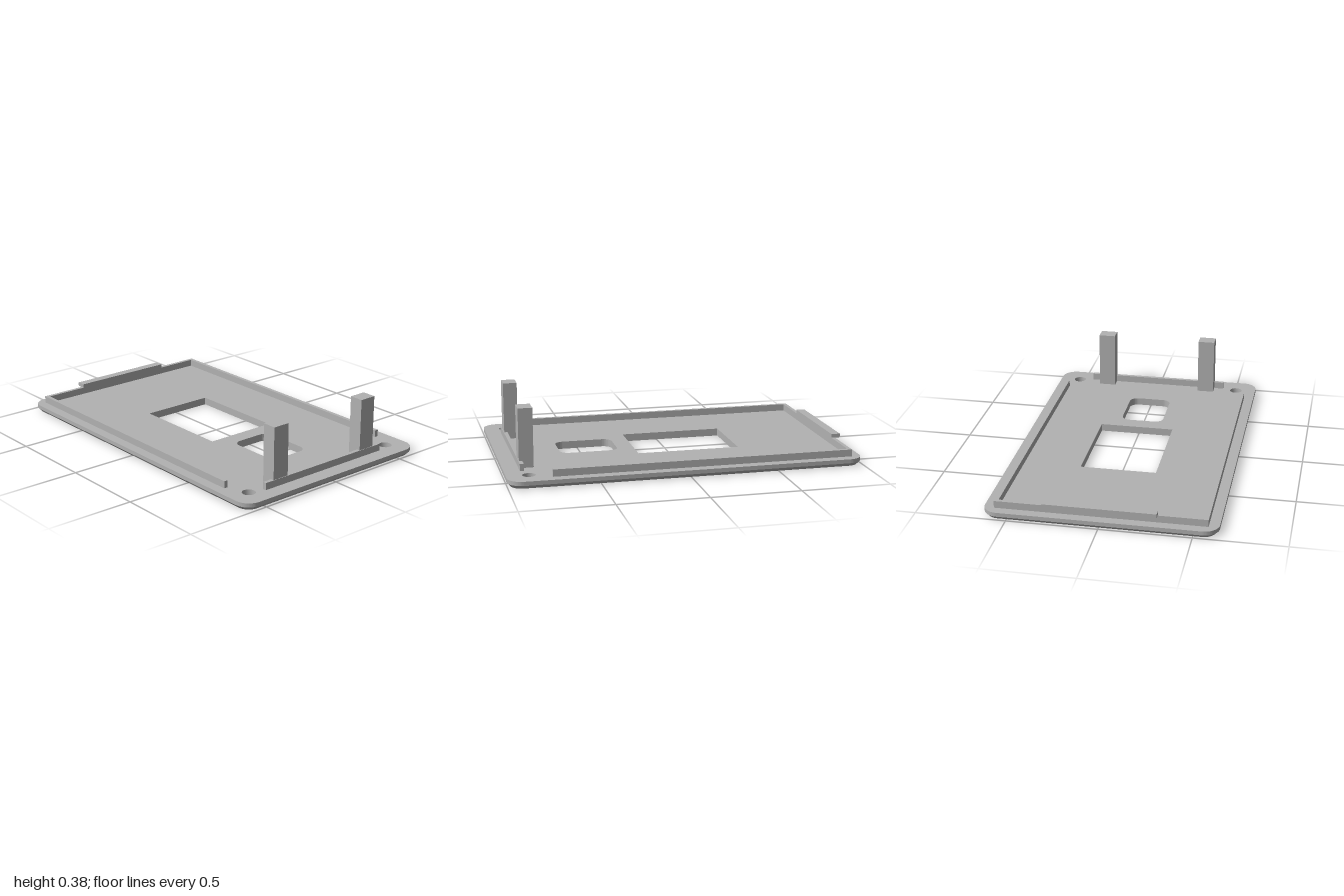
import * as THREE from 'three';
import { toCreasedNormals } from 'three/addons/utils/BufferGeometryUtils.js';

const W = 1, D = 0.634, R = 0.085;      // plate half width, half depth, corner radius
const TOP = 0.043, CHAMFER = 0.02;      // plate thickness, bottom edge chamfer
const RIM = 0.083;                      // top of the locating rims

// Rounded rectangle traced counter-clockwise
function roundedRect(path, x0, y0, x1, y1, r) {
  path.absarc(x1 - r, y0 + r, r, -Math.PI / 2, 0);
  path.absarc(x1 - r, y1 - r, r, 0, Math.PI / 2);
  path.absarc(x0 + r, y1 - r, r, Math.PI / 2, Math.PI);
  path.absarc(x0 + r, y0 + r, r, Math.PI, Math.PI * 1.5);
  path.closePath();
  return path;
}

function plateGeometry() {
  const shape = roundedRect(new THREE.Shape(), -W, -D, W, D, R);

  // Rectangular window, rounded window and two screw holes
  const screen = new THREE.Path();
  screen.moveTo(-0.38, -0.204);
  screen.lineTo(0.209, -0.204);
  screen.lineTo(0.209, 0.229);
  screen.lineTo(-0.38, 0.229);
  screen.closePath();
  shape.holes.push(screen, roundedRect(new THREE.Path(), 0.303, -0.125, 0.637, 0.126, 0.05));
  for (const s of [-1, 1]) {
    shape.holes.push(new THREE.Path().absarc(0.875, s * 0.512, 0.037, 0, Math.PI * 2));
  }

  const geo = new THREE.ExtrudeGeometry(shape, { depth: TOP, steps: 2, bevelEnabled: false, curveSegments: 10 });

  // Pull the bottom outline inward to chamfer the outer edge only
  const p = geo.attributes.position;
  for (let i = 0; i < p.count; i++) {
    const x = p.getX(i), y = p.getY(i), z = p.getZ(i);
    if (z > 0.001 && z < TOP - 0.001) p.setZ(i, CHAMFER);
    if (z > 0.001) continue;
    const cx = THREE.MathUtils.clamp(x, R - W, W - R);
    const cy = THREE.MathUtils.clamp(y, R - D, D - R);
    if (Math.hypot(x - cx, y - cy) < R - 0.001) continue;
    const k = (R - CHAMFER) / R;
    p.setXY(i, cx + (x - cx) * k, cy + (y - cy) * k);
  }
  geo.rotateX(-Math.PI / 2);
  return toCreasedNormals(geo, 0.5);
}

export function createModel() {
  const group = new THREE.Group();
  const grey = new THREE.MeshStandardMaterial({ color: 0xb2b2b2 });
  grey.name = 'grey plastic';

  function add(name, geometry) {
    const mesh = new THREE.Mesh(geometry, grey);
    mesh.name = name;
    group.add(mesh);
  }
  // Box given by its two extreme corners
  function box(name, x0, x1, y0, y1, z0, z1) {
    const geo = new THREE.BoxGeometry(x1 - x0, y1 - y0, z1 - z0);
    geo.translate((x0 + x1) / 2, (y0 + y1) / 2, (z0 + z1) / 2);
    add(name, geo);
  }

  add('coverPlate', plateGeometry());

  // Rims along three sides and a shorter one at the post end
  box('frontRim', -0.945, 0.755, TOP, RIM, 0.555, 0.577);
  box('backRim', -0.945, 0.755, TOP, RIM, -0.577, -0.555);
  box('endRim', -0.945, -0.924, TOP, RIM, -0.555, 0.555);
  box('postRim', 0.89, 0.912, TOP, RIM, -0.427, 0.427);

  // Overhanging catch on the end rim
  box('catch', -0.975, -0.924, RIM, 0.105, -0.308, 0.308);

  // Upright posts
  box('frontPost', 0.828, 0.909, TOP, 0.378, 0.27, 0.37);
  box('backPost', 0.828, 0.909, TOP, 0.378, -0.37, -0.27);

  return group;
}
